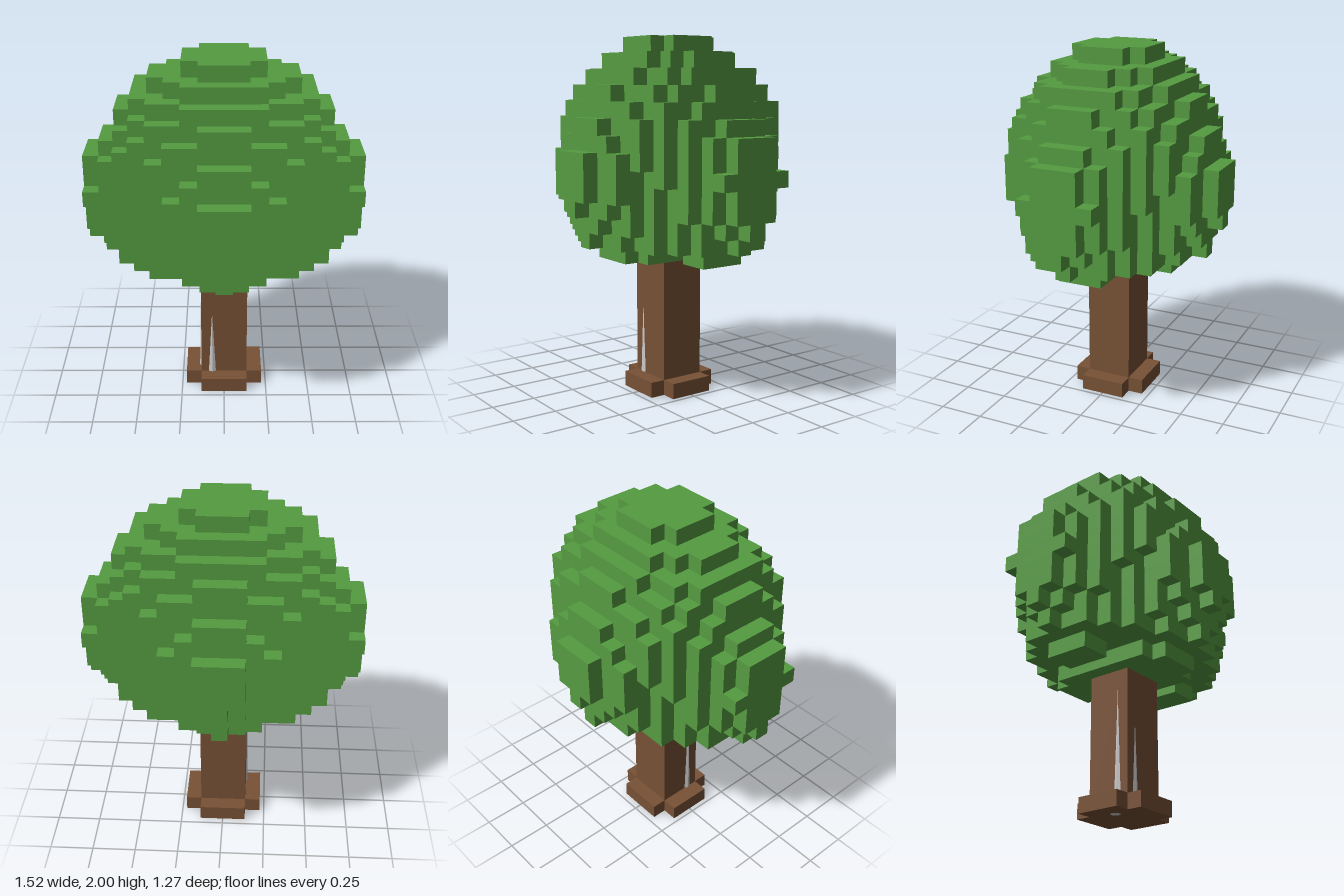
import * as THREE from 'three';
import { mergeGeometries } from 'three/addons/utils/BufferGeometryUtils.js';

// Block size along each axis
const DX = 0.0894, DY = 2 / 23, DZ = 0.0847;

const leafGreen = new THREE.MeshStandardMaterial({ color: 0x559b41 });
leafGreen.name = 'leafGreen';
const barkBrown = new THREE.MeshStandardMaterial({ color: 0x775135 });
barkBrown.name = 'barkBrown';
const paleGrey = new THREE.MeshStandardMaterial({ color: 0xcccccc });
paleGrey.name = 'paleGrey';

// Box given by block ranges (inclusive)
function blocks(x0, x1, y0, y1, z0, z1) {
  const g = new THREE.BoxGeometry((x1 - x0 + 1) * DX, (y1 - y0 + 1) * DY, (z1 - z0 + 1) * DZ);
  return g.translate((x0 + x1) / 2 * DX, (y0 + y1 + 1) / 2 * DY, (z0 + z1) / 2 * DZ);
}

// Crown layers from the bottom up: half width in x at |z| = 0, 1, 2...
const FIRST_LAYER = 9;
const LAYERS = [
  '22221', '7665420', '8765431', '88764320', '88764331', '88865331', '88765431',
  '8876542', '7766541', '666553', '665541', '55542', '4432', '221',
];

export function createModel() {
  const tree = new THREE.Group();
  tree.name = 'tree';
  const add = (name, geometry, material) => {
    const mesh = new THREE.Mesh(geometry, material);
    mesh.name = name;
    tree.add(mesh);
    return mesh;
  };

  // Stepped leaf crown
  const crown = [];
  LAYERS.forEach((row, i) => {
    const y = FIRST_LAYER + i;
    [...row].forEach((c, z) => {
      if (c === row[z + 1]) return;
      crown.push(blocks(-c, +c, y, y, -z, z));
    });
  });
  // Hanging clumps at both sides of the crown
  for (const s of [-1, 1]) {
    const mid = 4.5 * s;
    crown.push(blocks(mid - 0.5, mid + 0.5, 9, 9, -1, 1));
  }
  add('crown', mergeGeometries(crown), leafGreen);

  // Trunk and cross-shaped foot
  add('trunk', blocks(-1, 1, 0, 9, -1, 1), barkBrown);
  add('foot', mergeGeometries([blocks(-2, 2, 0, 0, -1, 1), blocks(-1, 1, 0, 0, -2, 2)]), barkBrown);

  // Thin pale slivers on the bark
  const sliver = (name, height, halfX, halfZ, x, z) => {
    const g = new THREE.ConeGeometry(1, height, 4).scale(halfX, 1, halfZ).toNonIndexed();
    g.computeVertexNormals();
    add(name, g.translate(x, DY + height / 2, z), paleGrey);
  };
  sliver('frontSliver', 0.41, 0.021, 0.008, -0.07, 1.5 * DZ);
  sliver('rightSliver', 0.58, 0.011, 0.021, -1.5 * DX, 0.06);

  // Small pale patch beneath the foot
  const patch = add('footPatch', new THREE.CircleGeometry(0.028, 12), paleGrey);
  patch.rotation.x = Math.PI / 2;
  patch.position.set(-0.1, -0.001, 0.02);

  return tree;
}
